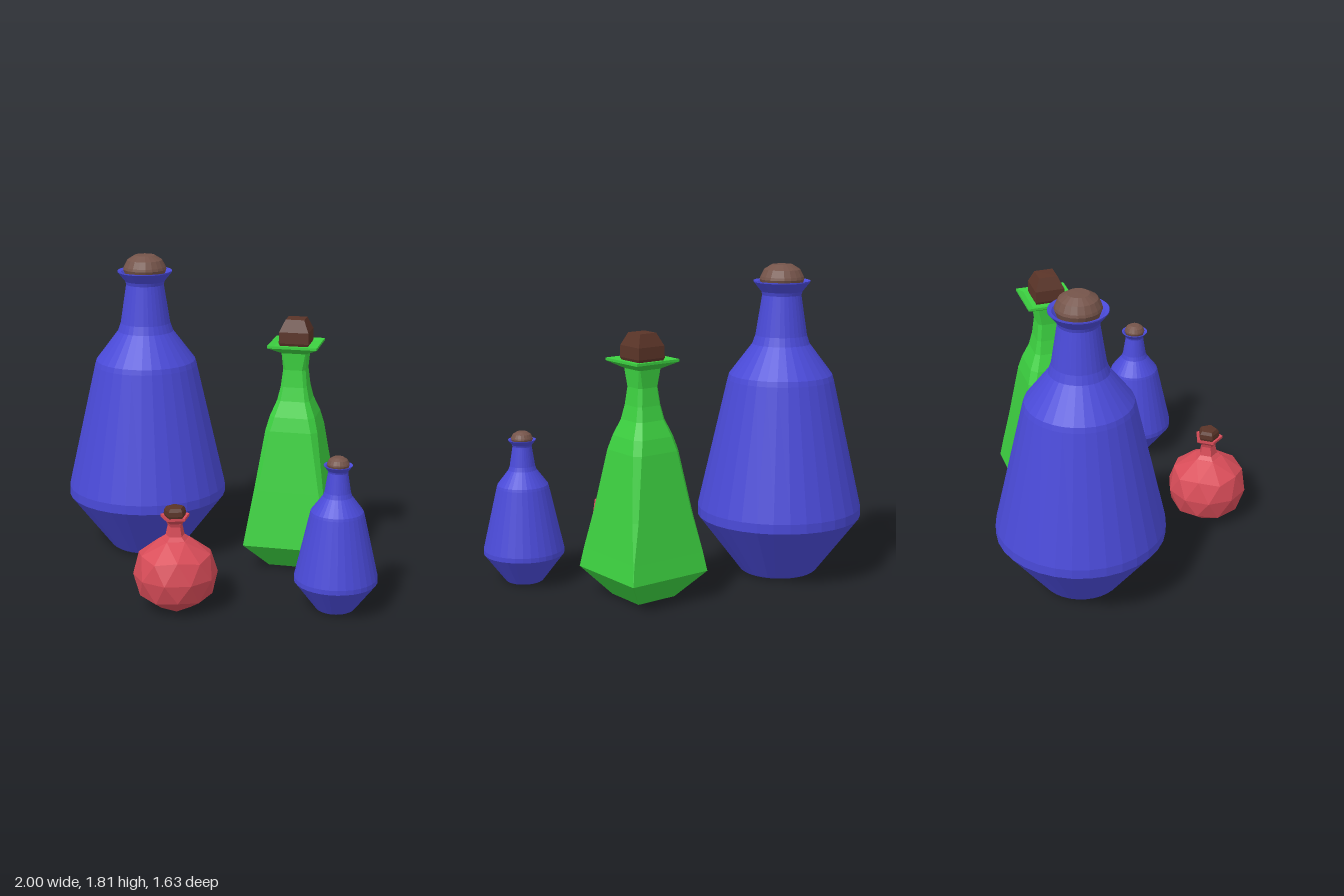
import * as THREE from 'three';
import { ConvexGeometry } from 'three/addons/geometries/ConvexGeometry.js';

const mat = (color) => new THREE.MeshStandardMaterial({ color, flatShading: true, side: THREE.DoubleSide });
const blue = mat(0x4a4ad8), green = mat(0x3cd040), red = mat(0xd84c58);
const lightCork = mat(0x75544a), darkCork = mat(0x5a3428);

function add(parent, name, geometry, material) {
  const mesh = new THREE.Mesh(geometry, material);
  mesh.name = name;
  parent.add(mesh);
  return mesh;
}

// Turned shape from [radius, height] pairs
const turned = (pairs, sides, start = 0) =>
  new THREE.LatheGeometry(pairs.map(([r, y]) => new THREE.Vector2(r, y)), sides, start);

// Square shape with chamfered corners, lofted through [height, halfWidth, chamfer] sections
function squareLoft(sections) {
  const pos = [], idx = [], n = 8;
  for (const [y, h, c] of sections) {
    const k = h - c;
    for (const [x, z] of [[-k, h], [k, h], [h, k], [h, -k], [k, -h], [-k, -h], [-h, -k], [-h, k]]) pos.push(x, y, z);
  }
  for (let s = 0; s < sections.length - 1; s++) {
    for (let i = 0; i < n; i++) {
      const a = s * n + i, b = s * n + (i + 1) % n;
      idx.push(a, b, b + n, a, b + n, a + n);
    }
  }
  const top = (sections.length - 1) * n;
  for (let i = 1; i < n - 1; i++) idx.push(0, i + 1, i, top, top + i, top + i + 1);
  const g = new THREE.BufferGeometry();
  g.setAttribute('position', new THREE.Float32BufferAttribute(pos, 3));
  g.setIndex(idx);
  g.computeVertexNormals();
  return g;
}

// Round bottle with a flared lip and domed cork
function roundBottle(name) {
  const g = new THREE.Group();
  g.name = name;
  add(g, 'roundGlass', turned([
    [0, 0.015], [0.21, 0.015], [0.225, 0.025], [0.475, 0.355], [0.475, 0.41], [0.306, 1.155], [0.297, 1.185],
    [0.165, 1.36], [0.148, 1.41], [0.112, 1.64], [0.118, 1.66], [0.162, 1.715], [0.162, 1.722], [0.14, 1.715], [0.11, 1.68],
  ], 32), blue);
  add(g, 'roundCork', turned([
    [0.11, 1.68], [0.128, 1.73], [0.124, 1.745], [0.104, 1.785], [0.06, 1.813], [0, 1.815],
  ], 20), lightCork);
  return g;
}

// Square bottle with tapering body and flat flange
function squareBottle() {
  const g = new THREE.Group();
  g.name = 'squareBottle';
  add(g, 'squareGlass', squareLoft([
    [0.015, 0.125, 0.002], [0.17, 0.255, 0.002], [0.28, 0.238, 0.004], [0.5, 0.205, 0.024], [0.85, 0.153, 0.034],
    [0.93, 0.132, 0.034], [1.02, 0.095, 0.024], [1.1, 0.077, 0.018], [1.2, 0.066, 0.018], [1.3, 0.073, 0.006],
    [1.34, 0.144, 0.003], [1.354, 0.144, 0.003], [1.345, 0.11, 0.003],
  ]), green);
  const r = Math.SQRT2;
  add(g, 'squareStopper', turned([
    [0.075 * r, 1.33], [0.087 * r, 1.36], [0.085 * r, 1.425], [0.054 * r, 1.495], [0, 1.498],
  ], 4, Math.PI / 4), darkCork);
  return g;
}

// Faceted globe flask with a five-sided neck
function globeFlask() {
  const g = new THREE.Group();
  g.name = 'globeFlask';
  const deg = Math.PI / 180, pts = [];
  const ring = (count, r, y, start) => {
    for (let i = 0; i < count; i++) {
      const a = (start + i * 360 / count) * deg;
      pts.push(new THREE.Vector3(r * Math.sin(a), y, r * Math.cos(a)));
    }
  };
  ring(10, 0.235, 0.205, 0);
  for (const [s, start] of [[1, -18], [-1, 18]]) {
    ring(5, 0.21, 0.205 + s * 0.105, start);
    ring(5, 0.2, 0.205 + s * 0.123, start + 36);
    ring(5, 0.085, 0.205 + s * 0.2, start);
  }
  add(g, 'globeBody', new ConvexGeometry(pts), red);
  add(g, 'globeNeck', turned([
    [0.085, 0.403], [0.055, 0.425], [0.043, 0.48], [0.05, 0.5], [0.084, 0.525], [0.084, 0.54], [0.055, 0.53],
  ], 5, -18 * deg), red);
  add(g, 'globeStopper', turned([
    [0.05, 0.51], [0.065, 0.545], [0.062, 0.57], [0.05, 0.588], [0, 0.59],
  ], 5, -18 * deg), darkCork);
  return g;
}

export function createModel() {
  const model = new THREE.Group();
  model.name = 'bottleSet';
  const large = roundBottle('largeRoundBottle');
  large.position.set(-0.525, 0, -0.345);
  const small = roundBottle('smallRoundBottle');
  small.scale.setScalar(0.487);
  small.position.set(0.766, 0, 0.403);
  const square = squareBottle();
  square.position.set(0.405, 0, -0.263);
  const globe = globeFlask();
  globe.position.set(-0.104, 0, 0.575);
  model.add(large, small, square, globe);
  return model;
}
